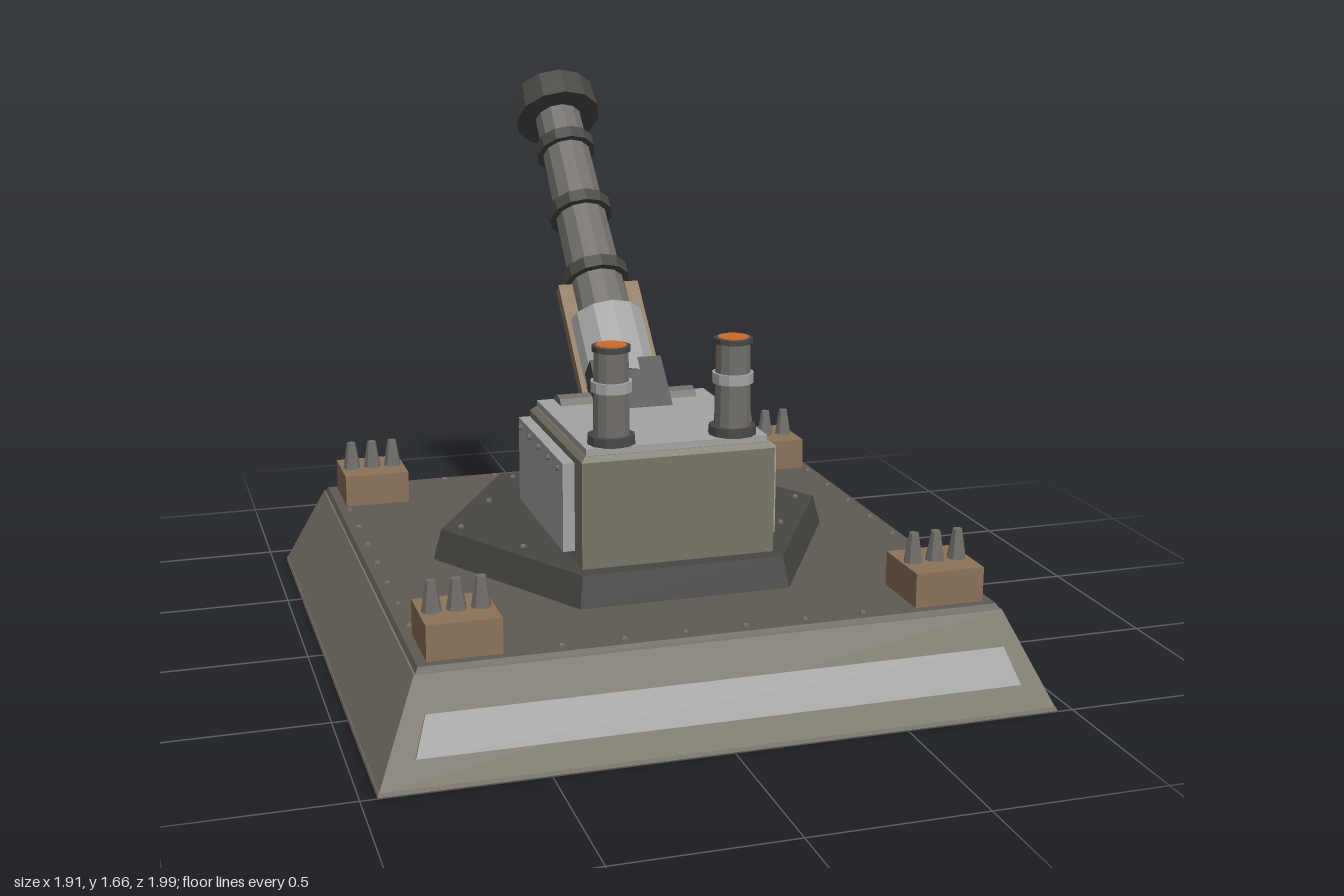
import * as THREE from 'three';

const DECK_Z = 0.042; // centre of the platform along z

const mat = (color) => new THREE.MeshStandardMaterial({ color, flatShading: true });

export function createModel() {
  const root = new THREE.Group();
  const M = {
    hull: mat(0x7a7468), deck: mat(0x5f5a52), dark: mat(0x484643), metal: mat(0x716e69),
    light: mat(0xa3a3a3), brown: mat(0x8a7259), glow: mat(0xc96a2b),
  };

  const add = (parent, name, geo, m, x = 0, y = 0, z = 0) => {
    const mesh = new THREE.Mesh(geo, m);
    mesh.name = name;
    mesh.position.set(x, y, z);
    parent.add(mesh);
    return mesh;
  };
  const group = (parent, name, x = 0, y = 0, z = 0) => {
    const g = new THREE.Group();
    g.name = name;
    g.position.set(x, y, z);
    parent.add(g);
    return g;
  };
  const box = (w, h, d) => new THREE.BoxGeometry(w, h, d);
  // Cylinder standing on y = 0
  const cyl = (rTop, rBottom, h, sides = 12) =>
    new THREE.CylinderGeometry(rTop, rBottom, h, sides).translate(0, h / 2, 0);
  // Square frustum standing on y = 0, given by half widths
  const frustum = (top, bottom, h, zScale = 1) =>
    cyl(top * Math.SQRT2, bottom * Math.SQRT2, h, 4).rotateY(Math.PI / 4).scale(1, 1, zScale);
  const rivetGeo = new THREE.IcosahedronGeometry(0.01, 0);

  // Sloped platform and its deck
  const platform = group(root, 'platform', 0, 0, DECK_Z);
  add(platform, 'platformFoot', frustum(0.952, 0.955, 0.01), M.hull);
  add(platform, 'platformBody', frustum(0.833, 0.95, 0.26), M.hull, 0, 0.01);
  add(platform, 'deckPlate', frustum(0.82, 0.828, 0.015), M.deck, 0, 0.27);

  // Raised trapezoid panels on the front and back slopes
  const panelShape = new THREE.Shape([
    new THREE.Vector2(-0.85, 0.083), new THREE.Vector2(0.85, 0.083),
    new THREE.Vector2(0.815, 0.193), new THREE.Vector2(-0.815, 0.193),
  ]);
  const panelGeo = new THREE.ExtrudeGeometry(panelShape, { depth: 0.014, bevelEnabled: false });
  panelGeo.rotateX(-Math.atan(0.122 / 0.27)).translate(0, 0, 0.954);
  for (const side of [0, 1]) {
    add(platform, 'slopePanel', panelGeo, M.light).rotation.y = side * Math.PI;
  }

  // Deck rivets
  for (const s of [-1, 1]) {
    for (let i = 0; i < 6; i++) add(platform, 'deckRivet', rivetGeo, M.metal, (i - 2.5) * 0.172, 0.287, s * 0.79);
    for (let i = 0; i < 7; i++) add(platform, 'deckRivet', rivetGeo, M.metal, s * 0.79, 0.287, (i - 3) * 0.178);
  }

  // Corner blocks with three spikes each
  for (const sx of [-1, 1]) {
    for (const sz of [-1, 1]) {
      const corner = group(platform, 'cornerBlock', sx * 0.69, 0.285, sz * 0.69);
      add(corner, 'block', box(0.205, 0.1, 0.205), M.brown, 0, 0.05);
      for (const i of [-1, 0, 1]) {
        add(corner, 'spike', cyl(0.014, 0.028, 0.085, 8), M.metal, i * 0.067, 0.1);
      }
    }
  }

  // Hexagonal turntable with corners on the x axis
  add(platform, 'turntable', cyl(0.595, 0.62, 0.09, 6).rotateY(Math.PI / 2), M.dark, 0, 0.285);
  for (let i = 0; i < 12; i++) {
    const a = (i * Math.PI) / 6;
    const r = i % 2 ? 0.46 : 0.535;
    add(platform, 'turntableRivet', rivetGeo, M.metal, r * Math.cos(a), 0.377, r * Math.sin(a));
  }

  // Turret housing with roof plate
  const turret = group(root, 'turret', 0, 0.375, 0.207);
  add(turret, 'housing', frustum(0.285, 0.285, 0.31, 1.06), M.hull);
  add(turret, 'housingChamfer', frustum(0.272, 0.285, 0.015, 1.06), M.hull, 0, 0.31);
  add(turret, 'roofPlate', box(0.535, 0.02, 0.57), M.light, 0, 0.335, 0);

  // Riveted side armour
  for (const s of [-1, 1]) {
    add(turret, 'sidePanel', box(0.035, 0.26, 0.53), M.light, s * 0.302, 0.16, -0.042);
    for (let i = 0; i < 5; i++) {
      add(turret, 'panelRivet', rivetGeo, M.metal, s * 0.322, 0.268, 0.183 - i * 0.1125);
    }
  }

  // Exhaust stacks
  for (const s of [-1, 1]) {
    const stack = group(root, 'exhaustStack', s * 0.18, 0.72, 0.44);
    add(stack, 'flange', cyl(0.068, 0.07, 0.025), M.dark);
    add(stack, 'pipe', cyl(0.05, 0.053, 0.25), M.metal, 0, 0.025);
    add(stack, 'band', cyl(0.06, 0.06, 0.03), M.light, 0, 0.15);
    add(stack, 'lip', cyl(0.056, 0.056, 0.015), M.dark, 0, 0.265);
    add(stack, 'glowDisc', cyl(0.045, 0.045, 0.004), M.glow, 0, 0.279);
  }

  // Trunnion carrying the gun
  add(root, 'trunnion', cyl(0.055, 0.055, 0.43).translate(0, -0.215, 0).rotateZ(Math.PI / 2), M.metal, 0, 0.69, -0.03);

  // Gun, built along its own y axis and tipped back 45 degrees
  const gun = group(root, 'gun', 0, 0.69, -0.03);
  gun.rotation.x = -Math.PI / 4;
  add(gun, 'breech', box(0.225, 0.22, 0.22), M.dark);
  add(gun, 'sleeve', cyl(0.12, 0.12, 0.25), M.light, 0, 0.067);
  add(gun, 'barrel', cyl(0.076, 0.092, 1.1), M.metal, 0, 0.07);
  [[0.48, 0.107], [0.74, 0.103], [1.0, 0.098]].forEach(([d, r]) =>
    add(gun, 'barrelRing', cyl(r, r, 0.042), M.dark, 0, d - 0.021));
  add(gun, 'muzzle', cyl(0.135, 0.142, 0.1), M.dark, 0, 1.13);
  add(gun, 'muzzleGlow', cyl(0.08, 0.08, 0.006), M.glow, 0, 1.228);
  for (const s of [-1, 1]) {
    add(gun, 'sideRail', box(0.045, 0.4, 0.038), M.brown, s * 0.108, 0.25, 0);
  }

  // Elevation strut from the turntable to the underside of the gun
  add(root, 'strutFoot', box(0.1, 0.035, 0.1), M.dark, 0, 0.392, -0.345);
  const strut = group(root, 'elevationStrut', 0, 0.4, -0.342);
  strut.rotation.x = 0.1;
  add(strut, 'strutCylinder', cyl(0.04, 0.04, 0.265), M.dark);
  add(strut, 'strutRod', cyl(0.02, 0.02, 0.2, 8), M.metal, 0, 0.26);

  return root;
}
